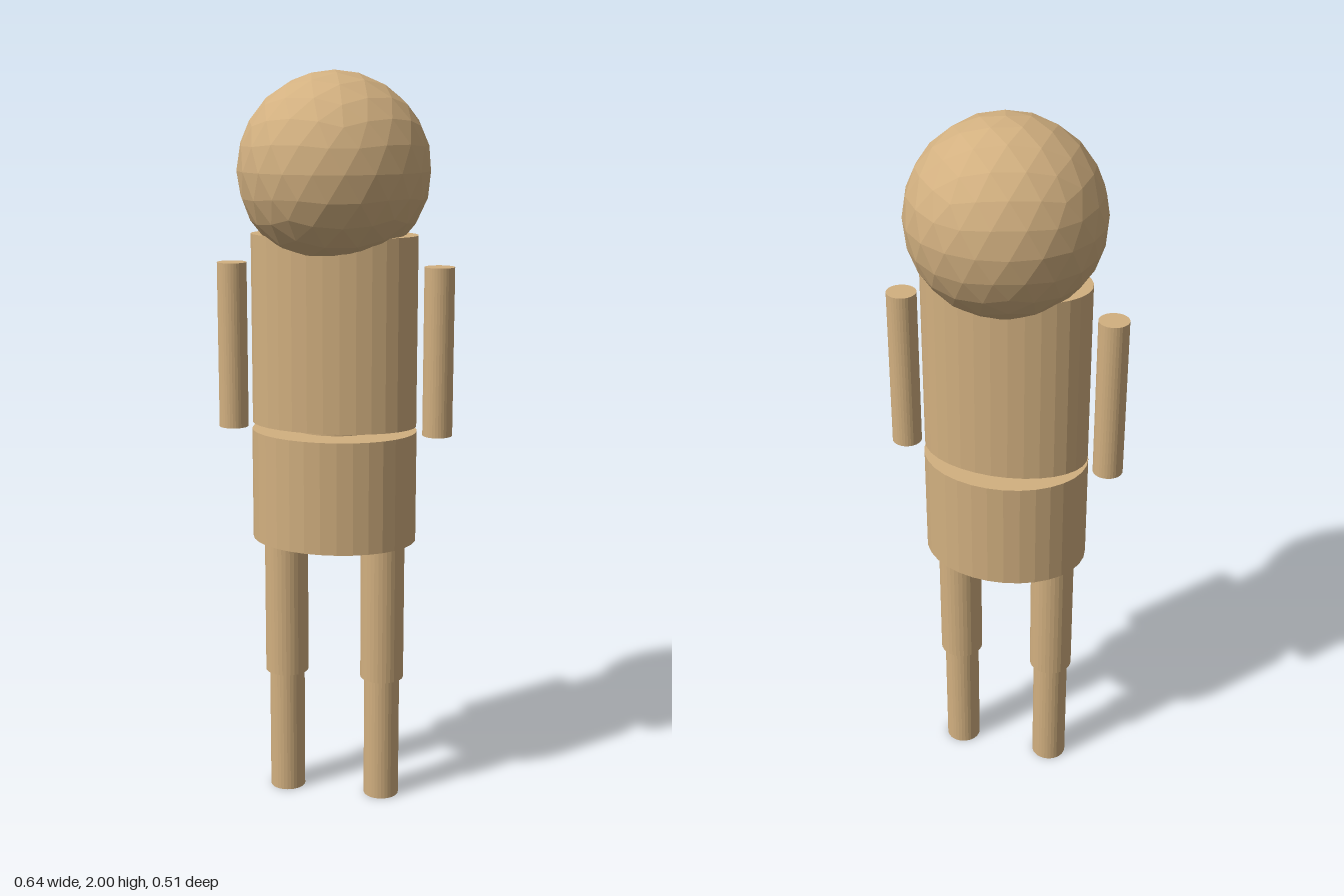
import * as THREE from 'three';

export function createModel() {
  const group = new THREE.Group();
  const material = new THREE.MeshStandardMaterial({ color: 0xd2b080, flatShading: true });

  const add = (name, geometry, x, y) => {
    const mesh = new THREE.Mesh(geometry, material);
    mesh.name = name;
    mesh.position.set(x, y, 0);
    group.add(mesh);
  };

  // Upright elliptical cylinder from y0 to y1
  const column = (name, x, y0, y1, rx, rz = rx) => {
    const geometry = new THREE.CylinderGeometry(1, 1, y1 - y0, 32);
    geometry.scale(rx, 1, rz);
    add(name, geometry, x, (y0 + y1) / 2);
  };

  // Head: faceted icosphere with a corner pointing straight up
  const head = new THREE.IcosahedronGeometry(0.255, 3);
  head.rotateX(-Math.atan2((1 + Math.sqrt(5)) / 2, 1));
  head.rotateY(Math.PI / 2);
  add('head', head, 0, 1.745);

  // Trunk
  column('torso', 0, 1.07, 1.58, 0.225, 0.14);
  column('waist', 0, 1.03, 1.09, 0.11, 0.095);
  column('pelvis', 0, 0.75, 1.055, 0.225, 0.178);

  // Limbs, left is +x
  for (const [side, s] of [['left', 1], ['right', -1]]) {
    column(side + 'Arm', s * 0.282, 1.05, 1.5, 0.04);
    column(side + 'Thigh', s * 0.136, 0.352, 0.76, 0.06);
    column(side + 'Shin', s * 0.136, 0, 0.36, 0.049);
  }

  return group;
}
